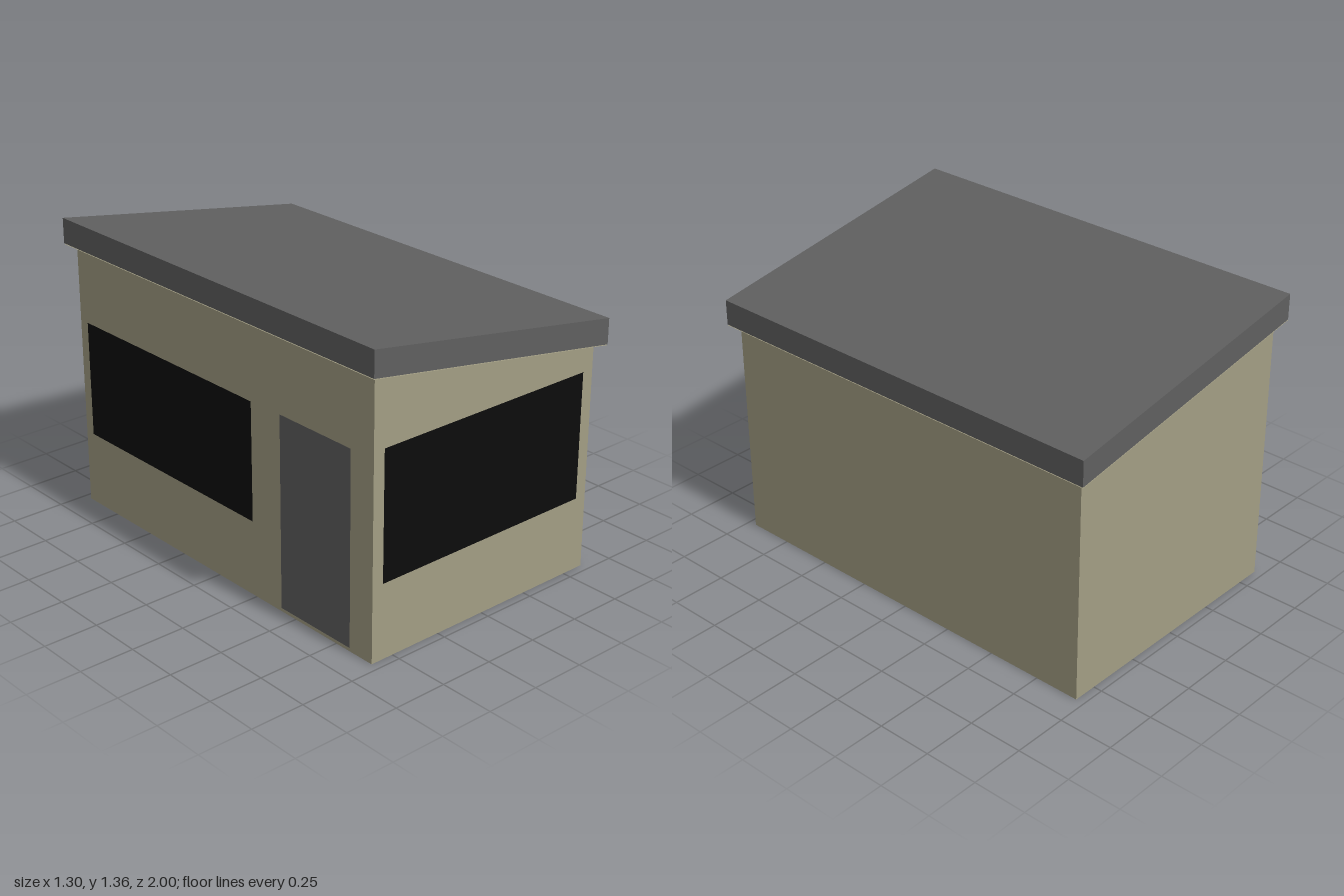
import * as THREE from 'three';

const W = 0.61, D = 0.96;              // wall half width and half depth
const RW = 0.65, RD = 1;               // roof half width and half depth
const HIGH = 1.243, LOW = 1.03, THICK = 0.116;
const underside = (x) => HIGH + (LOW - HIGH) * (x + RW) / (2 * RW);

const paint = (color) => new THREE.MeshStandardMaterial({ color, side: THREE.DoubleSide });
const wallMat = paint(0xa39e84);
const roofMat = paint(0x606060);
const doorMat = paint(0x606060);
const glassMat = paint(0x0c0c0c);

const polygon = (points) => new THREE.Shape(points.map(([x, y]) => new THREE.Vector2(x, y)));
const rect = ([x0, x1, y0, y1]) => polygon([[x0, y0], [x1, y0], [x1, y1], [x0, y1]]);

// A flat wall whose openings are filled flush with door or window panels
function makeWall(name, outline, openings = []) {
  const wall = new THREE.Group();
  wall.name = name;
  const shape = polygon(outline);
  for (const { part, box, material } of openings) {
    shape.holes.push(rect(box));
    const panel = new THREE.Mesh(new THREE.ShapeGeometry(rect(box)), material);
    panel.name = part;
    wall.add(panel);
  }
  const surface = new THREE.Mesh(new THREE.ShapeGeometry(shape), wallMat);
  surface.name = name + 'Surface';
  wall.add(surface);
  return wall;
}

export function createModel() {
  const model = new THREE.Group();
  model.name = 'shed';

  // Front and back walls with sloping tops
  const high = underside(-W), low = underside(W);
  const front = makeWall('frontWall', [[-W, 0], [W, 0], [W, low], [-W, high]], [
    { part: 'frontWindow', box: [-0.555, 0.555, 0.34, 0.92], material: glassMat },
  ]);
  front.position.z = D;
  const back = makeWall('backWall', [[-W, 0], [W, 0], [W, high], [-W, low]]);
  back.rotation.y = Math.PI;
  back.position.z = -D;

  // Low blank side, and tall side with door and window
  const blank = makeWall('leftWall', [[-D, 0], [D, 0], [D, low], [-D, low]]);
  blank.rotation.y = Math.PI / 2;
  blank.position.x = W;
  const entry = makeWall('rightWall', [[-D, 0], [D, 0], [D, high], [-D, high]], [
    { part: 'sideWindow', box: [-0.91, 0.23, 0.345, 0.886], material: glassMat },
    { part: 'door', box: [0.41, 0.83, 0.015, 0.89], material: doorMat },
  ]);
  entry.rotation.y = -Math.PI / 2;
  entry.position.x = -W;
  model.add(front, back, blank, entry);

  // Sloping slab roof
  const slab = polygon([[-RW, HIGH], [RW, LOW], [RW, LOW + THICK], [-RW, HIGH + THICK]]);
  const roof = new THREE.Mesh(
    new THREE.ExtrudeGeometry(slab, { depth: 2 * RD, bevelEnabled: false }), roofMat);
  roof.name = 'roof';
  roof.position.z = -RD;
  model.add(roof);

  // Wall-coloured underside of the roof
  const soffit = new THREE.Mesh(
    new THREE.PlaneGeometry(Math.hypot(2 * RW, HIGH - LOW), 2 * RD).rotateX(Math.PI / 2), wallMat);
  soffit.name = 'soffit';
  soffit.rotation.z = Math.atan2(LOW - HIGH, 2 * RW);
  soffit.position.y = (HIGH + LOW) / 2 - 0.003;
  model.add(soffit);

  return model;
}
